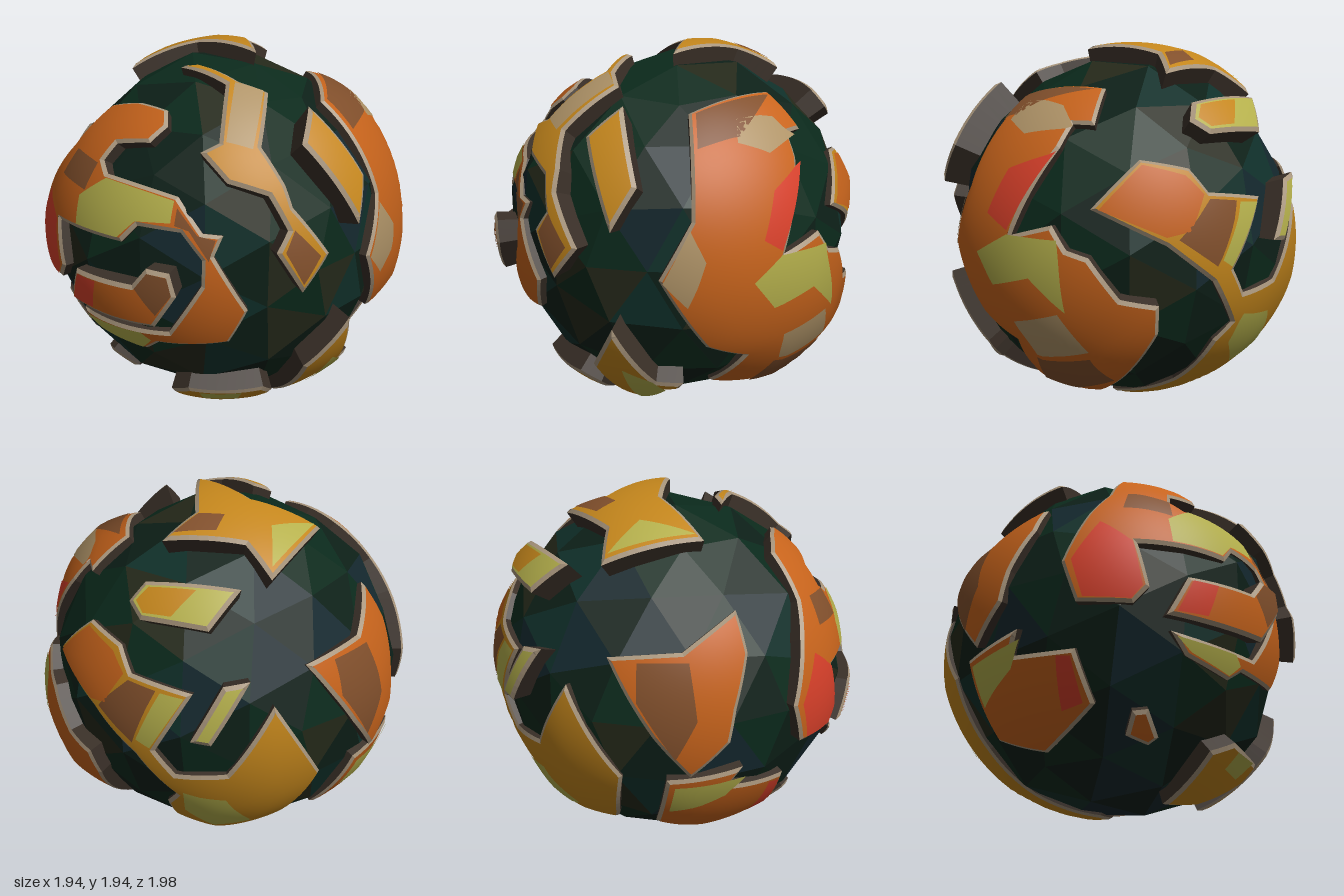
import * as THREE from 'three';

const CENTRE = 0.975, BASE = 0.82;
const RED = 0xd8402a, ORANGE = 0xc8641c, GOLD = 0xc4861c, YELLOW = 0xb5b04c, BROWN = 0x82502c, CREAM = 0xb09468;
const RIM = 0xa8957c, CLIFF = 0x3a3028;

// Returns a function turning (u, v) pairs seen from a direction into points that await a globe radius
function facing(azimuth, elevation, su = 1, sv = 1, v0 = 0) {
  const a = THREE.MathUtils.degToRad(azimuth), e = THREE.MathUtils.degToRad(elevation);
  const out = new THREE.Vector3(Math.sin(a) * Math.cos(e), Math.sin(e), Math.cos(a) * Math.cos(e));
  const right = new THREE.Vector3(Math.cos(a), 0, -Math.sin(a));
  const up = out.clone().cross(right);
  return (...uv) => {
    const points = [];
    for (let i = 0; i < uv.length; i += 2) {
      const u = uv[i] * su, v = (uv[i + 1] - v0) * sv;
      points.push(r => new THREE.Vector3().addScaledVector(right, u).addScaledVector(up, v)
        .addScaledVector(out, Math.sqrt(Math.max(0, r * r - u * u - v * v))).normalize());
    }
    return points;
  };
}
const F = facing(0, 0, 1, 1, CENTRE);      // x, y on the front
const R = facing(90, 0, -1, 1, CENTRE);    // z, y on the right
const T = facing(0, 90, 1, -1);            // x, z on the top
const B = facing(218, 24);                 // back, seen from above
const C = facing(138, -30);                // back, seen from below
const V = (x, y, z) => () => new THREE.Vector3(x, y, z).normalize();

function mesh(name, positions, color, round) {
  const g = new THREE.BufferGeometry();
  g.setAttribute('position', new THREE.Float32BufferAttribute(positions.flatMap(p => [p.x, p.y, p.z]), 3));
  if (round) g.setAttribute('normal', new THREE.Float32BufferAttribute(
    positions.flatMap(p => p.clone().normalize().toArray()), 3));
  else g.computeVertexNormals();
  const m = new THREE.Mesh(g, new THREE.MeshStandardMaterial({ color }));
  m.name = name;
  return m;
}

// Moves every corner of a flat outline inwards
function inset(pts, w) {
  return pts.map((p, i) => {
    const a = pts.at(i - 1), b = pts[(i + 1) % pts.length];
    const d1 = p.clone().sub(a).normalize(), d2 = b.clone().sub(p).normalize();
    const n = new THREE.Vector2(-d1.y - d2.y, d1.x + d2.x).normalize();
    const k = Math.max(0.6, n.dot(new THREE.Vector2(-d1.y, d1.x)));
    return p.clone().addScaledVector(n, w / k);
  });
}

// Distance from a flat point to an outline
function edgeDistance(p, pts) {
  let best = Infinity;
  for (let i = 0; i < pts.length; i++) {
    const a = pts[i], b = pts[(i + 1) % pts.length];
    const dx = b.x - a.x, dy = b.y - a.y, px = p.x - a.x, py = p.y - a.y;
    const t = THREE.MathUtils.clamp((px * dx + py * dy) / (dx * dx + dy * dy), 0, 1);
    best = Math.min(best, Math.hypot(px - dx * t, py - dy * t));
  }
  return best;
}

// Halves the longest side of a flat triangle until all sides are short
function split([a, b, c], out) {
  const ab = a.distanceTo(b), bc = b.distanceTo(c), ca = c.distanceTo(a), longest = Math.max(ab, bc, ca);
  if (longest < 0.07) out.push(a, b, c);
  else if (longest > ab) split([b, c, a], out);
  else {
    const m = a.clone().lerp(b, 0.5);
    split([a, m, c], out);
    split([m, b, c], out);
  }
}

// Fills a flat outline with small triangles, each corner placed by a rule
function cap(name, pts, place, color) {
  const corners = [];
  THREE.ShapeUtils.triangulateShape(pts, []).forEach(f => split(f.map(i => pts[i]), corners));
  return mesh(name, corners.map(place), color, true);
}

function band(name, low, high, color) {
  return mesh(name, low.flatMap((a, i) => {
    const j = (i + 1) % low.length;
    return [a, low[j], high[j], a, high[j], high[i]];
  }), color);
}

// A raised land plate: cliff, pale rim, domed top and coloured regions
function land(name, height, dome, outline, color, patches = [], tilt = [0, 0, 0]) {
  const g = new THREE.Group();
  g.name = name;
  const slope = new THREE.Vector3(...tilt);
  const radius = d => height + slope.dot(d);
  const resolve = f => f(radius(f(height)));
  const dirs = outline.map(resolve);

  // Flat working plane around the middle of the plate
  const mid = dirs.reduce((s, d) => s.add(d), new THREE.Vector3()).normalize();
  const e1 = new THREE.Vector3(0.31, 0.52, 0.8).cross(mid).normalize();
  const e2 = mid.clone().cross(e1);
  const flatten = list => {
    const pts = list.flatMap((d, i) => {
      const next = list[(i + 1) % list.length], n = Math.ceil(d.distanceTo(next) / 0.05);
      return Array.from({ length: n }, (_, k) => d.clone().lerp(next, k / n).normalize());
    }).map(d => new THREE.Vector2(d.dot(e1), d.dot(e2)).multiplyScalar(2 / (1 + d.dot(mid))));
    return THREE.ShapeUtils.isClockWise(pts) ? pts.reverse() : pts;
  };
  const lift = p => new THREE.Vector3().addScaledVector(e1, p.x).addScaledVector(e2, p.y)
    .addScaledVector(mid, 1 - p.lengthSq() / 4).normalize();

  const pts = flatten(dirs), inner = inset(pts, 0.022);
  const surface = extra => p => {
    const d = lift(p), rise = Math.min(1, edgeDistance(p, inner) / 0.22);
    return d.multiplyScalar(radius(d) + 0.012 + dome * rise + extra);
  };
  const edge = pts.map(p => lift(p)).map(d => d.multiplyScalar(radius(d)));
  g.add(band('cliff', pts.map(p => lift(p).multiplyScalar(BASE)), edge, CLIFF));
  g.add(band('rim', edge, inner.map(surface(0)), RIM));
  g.add(cap('landTop', inner, surface(0), color));
  for (const [tint, area] of patches) g.add(cap('region', flatten(area.map(resolve)), surface(0.005), tint));
  return g;
}

// Faceted sea ball with a few shallow dents, its facets sorted into dark tints
function sea() {
  const g = new THREE.Group();
  g.name = 'sea';
  const dents = [V(.55, -.1, .8), V(-.1, .7, .65), V(.6, .75, 0), V(.95, -.05, .1), V(-.75, .5, 0)].map(f => f());
  const tints = [0x0b2a1c, 0x0d2018, 0x10302a, 0x14282e, 0x25291a];
  const faces = tints.map(() => []);
  const p = new THREE.IcosahedronGeometry(1, 2).attributes.position;
  for (let i = 0; i < p.count; i += 3) {
    const bin = faces[[0, 1, 0, 2, 1, 3, 0, 1, 4][(i / 3 * 7 + (i / 12 | 0)) % 9]];
    for (let k = 0; k < 3; k++) {
      const d = new THREE.Vector3().fromBufferAttribute(p, i + k);
      const dent = Math.max(...dents.map(c => Math.max(0, c.dot(d)) ** 8));
      bin.push(d.multiplyScalar(0.935 - 0.075 * dent));
    }
  }
  faces.forEach((f, i) => g.add(mesh('seaFacets', f, tints[i])));
  g.position.y = -0.015;
  return g;
}

export function createModel() {
  const model = new THREE.Group();
  model.name = 'planet';
  const globe = new THREE.Group();
  globe.name = 'globe';
  globe.position.y = CENTRE;
  model.add(globe);
  globe.add(
    sea(),
    // Front
    land('hookedContinent', .92, .012, F(0, 1.63, -.04, 1.69, -.22, 1.7, -.4, 1.66, -.57, 1.46, -.7, 1.3, -.83, 1, -.78, .78,
      -.58, .77, -.52, .86, -.56, 1.1, -.1, 1.11, -.02, 1.2, .2, 1.19, .31, 1.06, .31, .93, .13, .65, -.4, .66,
      -.3, .56, -.02, .51, .06, .57, .4, .6, .5, .79, .36, 1.08, .39, 1.18, .3, 1.19, .16, 1.35, -.25, 1.4,
      -.3, 1.45, -.25, 1.53, -.06, 1.56), ORANGE, [
      [YELLOW, F(-.4, 1.13, -.12, 1.13, -.03, 1.22, .15, 1.23, .15, 1.33, -.24, 1.38, -.39, 1.27)],
      [RED, F(-.68, 1.22, -.8, 1, -.76, .8, -.59, .79, -.55, .86, -.58, 1.1)],
      [BROWN, F(-.57, 1.32, -.36, 1.3, -.32, 1.43, -.5, 1.45)],
      [YELLOW, F(-.37, .64, -.02, .63, .03, .59, -.03, .53, -.28, .58)],
      [BROWN, F(.17, 1.22, .24, 1.2, .34, 1.06, .36, 1.16, .28, 1.18, .17, 1.3)]], [-.06, -.04, 0]),
    land('curledIsland', .985, .005, F(-.45, .72, -.37, .92, 0, .93, .08, 1.03, .2, 1.02, .23, .9, .1, .71), ORANGE, [
      [RED, F(-.41, .74, -.35, .9, -.22, .9, -.26, .74)],
      [BROWN, F(.02, .92, .09, 1.01, .19, 1, .21, .91, .12, .79)]]),
    land('chainIslands', .905, .01, [...T(-.12, .25, -.02, .23, .25, .32, .4, .3), ...F(.49, 1.58, .63, 1.42, .68, 1.32,
      .83, 1.08, .75, .9, .65, 1.12, .68, 1.22, .58, 1.38, .4, 1.44, .24, 1.56, .31, 1.6), ...T(.2, .37)], GOLD, [
      [CREAM, [...T(.24, .35, .38, .32), ...F(.46, 1.57, .34, 1.6)]],
      [BROWN, F(.7, 1.22, .8, 1.08, .75, .95, .68, 1.12)]], [.06, 0, .05]),
    land('southFrontLand', 1.012, .005, [...F(.02, .2, .15, .26, .5, .27, .5, .2), V(.25, -.96, .33), V(.03, -.96, .3)], GOLD, [
      [YELLOW, F(.18, .17, .2, .24, .4, .25, .34, .17)]]),
    land('southIslet', .96, 0, F(-.42, .32, -.36, .33, -.24, .23, -.26, .2, -.38, .23), ORANGE),
    // Right
    land('greatContinent', .905, .05, [V(.54, .69, -.04), V(.27, .71, -.43), V(.42, .6, -.63), V(.52, .62, -.57),
      V(.6, .5, -.6), ...R(-.5, 1.03), ...C(-.03, .58, .05, .49, .16, .46, .3, .26, .47, .19, .45, .03, .06, -.46, -.32, -.39),
      ...R(-.32, .45, -.12, .54, .12, .93, -.04, 1.22)], ORANGE, [
      [RED, R(-.58, 1.43, -.48, 1.05, -.37, 1.12, -.42, 1.33)],
      [YELLOW, R(-.48, 1.03, -.72, 1.03, -.73, .7, -.62, .85, -.42, .79, -.32, .93)],
      [CREAM, R(-.48, .62, -.7, .69, -.72, .5, -.48, .44)],
      [BROWN, R(-.46, .42, -.7, .46, -.62, .28, -.32, .25)],
      [BROWN, [V(.53, .66, -.07), V(.32, .69, -.42), V(.62, .55, -.25), V(.66, .52, -.07)]],
      [CREAM, R(-.25, 1.62, -.44, 1.62, -.56, 1.54, -.4, 1.48, -.25, 1.53)],
      [CREAM, R(.1, .92, -.03, 1.18, -.1, 1.04, -.02, .8)]], [0, -.03, -.08]),
    land('slantedIsland', 1.01, .005, R(.46, 1.59, .28, 1.73, .22, 1.4, .35, 1.19), GOLD),
    land('leafIsland', 1.005, .005, R(.35, .68, .13, .32, -.01, .31, .01, .26, .1, .24, .2, .07, .45, .4), GOLD, [
      [YELLOW, R(.3, .42, .15, .34, .08, .26, .2, .12)]]),
    // Top
    land('northContinent', .955, .02, T(-.51, .1, -.55, -.41, -.37, -.37, 0, -.55, -.05, -.34, .2, .02, -.2, -.07), GOLD, [
      [BROWN, T(-.22, -.4, -.04, -.5, -.08, -.35, -.2, -.3)],
      [YELLOW, T(-.49, .06, -.52, -.37, -.4, -.2)]], [0, 0, -.06]),
    // Left
    land('westContinent', .94, .015, [...B(.34, -.04), V(-.8, .33, -.05), V(-.7, .5, .23),
      ...B(.8, .17, .84, -.1, .84, -.27, .72, -.5, .6, -.35, .48, -.2)],
      ORANGE, [[BROWN, B(.48, -.02, .66, .05, .74, -.2, .68, -.42, .52, -.2)]], [0, -.1, 0]),
    land('southWestLand', .955, .015, [...F(-.86, .6, -.72, .58, -.56, .35, -.55, .2), ...B(.42, -.83, .62, -.55, .85, -.38)], ORANGE, [
      [YELLOW, B(.55, -.72, .64, -.57, .84, -.42, .76, -.55)],
      [RED, F(-.76, .56, -.72, .55, -.6, .36, -.64, .34)]]),
    // Back
    land('backContinent', .94, .03, [V(.48, .195, -.75), V(.25, .425, -.79), V(.02, .38, -.85),
      ...B(-.5, -.06, -.21, -.16, -.4, -.45, -.3, -.58, -.05, -.58, .18, -.23, .43, -.6, .25, -.85),
      ...C(.43, -.7, .09, -.73, .03, -.65, .4, -.5, .64, -.21), ...B(-.3, -.7, -.5, -.47, -.7, -.23)], GOLD, [
      [ORANGE, [V(.44, .19, -.76), V(.24, .39, -.79), V(.05, .34, -.85), ...B(-.53, -.06, -.62, -.2, -.7, -.19)]],
      [BROWN, B(-.51, -.09, -.38, -.14, -.5, -.4, -.66, -.22)],
      [YELLOW, B(-.36, -.15, -.25, -.18, -.42, -.43, -.48, -.38)],
      [YELLOW, B(-.26, -.67, -.05, -.7, .08, -.83, -.1, -.87, -.25, -.78)]]),
    land('slitIsland', 1.01, 0, B(-.07, -.12, .06, -.1, -.13, -.41, -.23, -.39), YELLOW),
    land('northBackIsland', 1.015, .005, B(-.5, .29, -.42, .38, .03, .33, -.13, .14, -.45, .2), YELLOW, [
      [GOLD, B(-.46, .29, -.4, .35, -.18, .33, -.3, .21, -.43, .23)]]),
  );
  return model;
}
